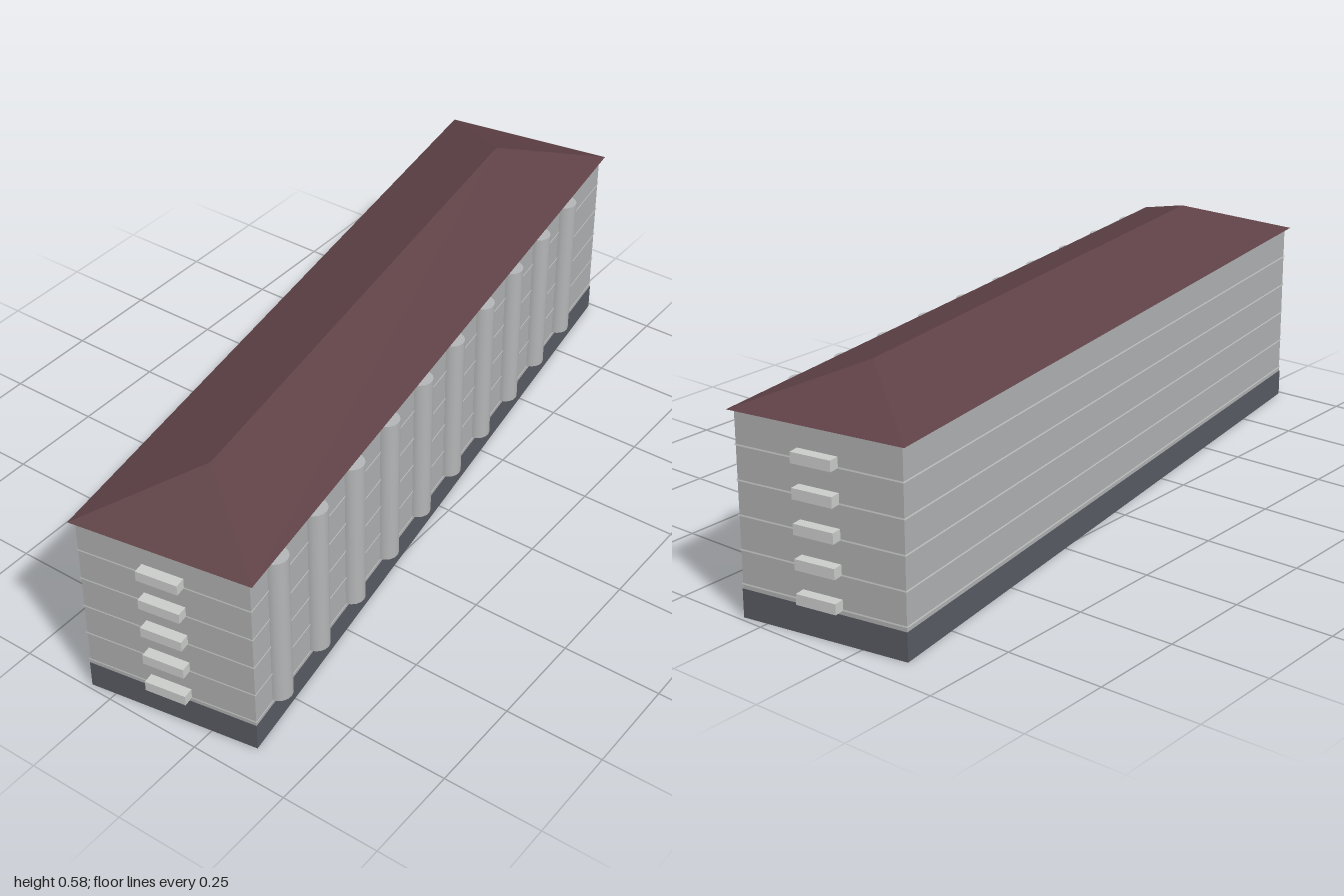
import * as THREE from 'three';

const HX = 0.965, HZ = 0.216; // half length and half width of the walls
const EAVE = 0.493, RIDGE = 0.58;

function paint(name, color, side = THREE.FrontSide) {
  const m = new THREE.MeshStandardMaterial({ color, side });
  m.name = name;
  return m;
}

// Four upright walls without top or bottom
function openBox(hx, hz, y0, y1) {
  const g = new THREE.BoxGeometry(2 * hx, y1 - y0, 2 * hz);
  const i = Array.from(g.index.array);
  g.setIndex([...i.slice(0, 12), ...i.slice(24, 36)]);
  g.clearGroups();
  g.translate(0, (y0 + y1) / 2, 0);
  return g;
}

// Hipped roof: four eave corners and two ridge ends
function hipRoof(hx, hz, ridge) {
  const p = [
    [-hx, EAVE, hz], [hx, EAVE, hz], [hx, EAVE, -hz], [-hx, EAVE, -hz],
    [-ridge, RIDGE, 0], [ridge, RIDGE, 0],
  ];
  const faces = [0, 1, 5, 0, 5, 4, 1, 2, 5, 2, 3, 4, 2, 4, 5, 3, 0, 4, 0, 3, 2, 0, 2, 1];
  const g = new THREE.BufferGeometry();
  g.setAttribute('position', new THREE.Float32BufferAttribute(faces.flatMap((i) => p[i]), 3));
  g.computeVertexNormals();
  return g;
}

export function createModel() {
  const wall = paint('wall grey', 0xafb0b1, THREE.DoubleSide);
  const plinth = paint('plinth slate', 0x585b63);
  const roofRed = paint('roof maroon', 0x5e4146);
  const trim = paint('trim pale grey', 0xd2d4d2);
  const columnGrey = paint('column grey', 0xb4b5b6);
  const balconyGrey = paint('balcony light grey', 0xcaccca);

  const model = new THREE.Group();
  model.name = 'building';
  const add = (name, geometry, material, x = 0, y = 0, z = 0) => {
    const m = new THREE.Mesh(geometry, material);
    m.name = name;
    m.position.set(x, y, z);
    model.add(m);
  };

  add('walls', openBox(HX, HZ, 0, EAVE), wall);
  add('plinth', openBox(HX + 0.0015, HZ + 0.0015, 0, 0.071), plinth);
  add('roof', hipRoof(0.977, 0.228, 0.75), roofRed);

  // One trim line and a pair of end balconies per storey
  const balcony = new THREE.BoxGeometry(0.054, 0.026, 0.104);
  for (let i = 0; i < 5; i++) {
    const y = 0.083 + i * 0.0822;
    add('floorLine', openBox(HX + 0.002, HZ + 0.002, y - 0.002, y + 0.002), trim);
    for (const s of [-1, 1]) add('balcony', balcony, balconyGrey, s * HX, y + 0.011, 0);
  }

  // Row of half-sunk columns on the front wall
  const column = new THREE.CylinderGeometry(0.032, 0.032, 0.404, 16);
  for (let i = 0; i < 10; i++) add('column', column, columnGrey, -0.86 + i * 0.1755, 0.285, HZ);

  // The building stands slightly turned
  model.rotation.y = THREE.MathUtils.degToRad(9);
  const root = new THREE.Group();
  root.name = 'model';
  root.add(model);
  return root;
}
